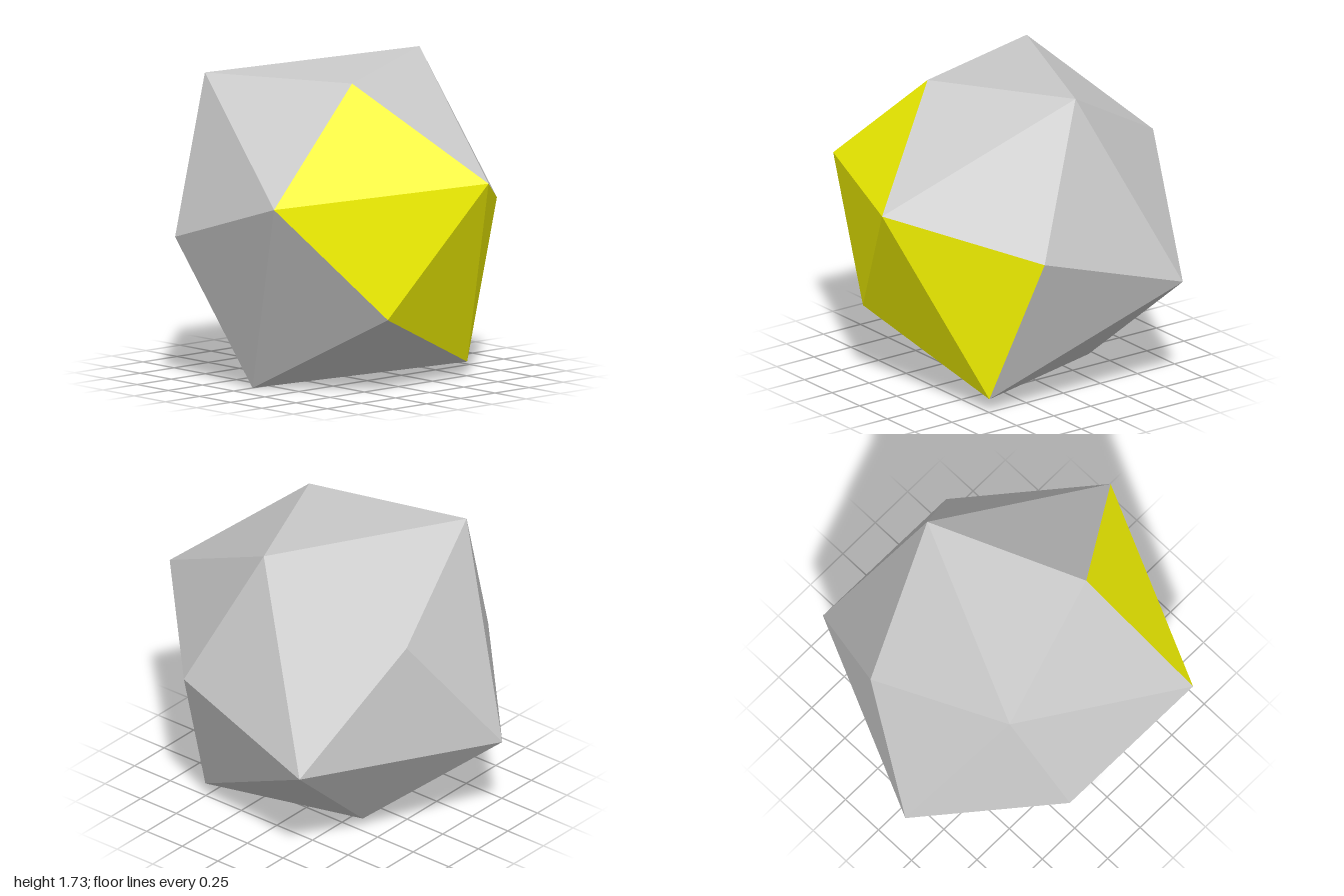
import * as THREE from 'three';

// Tetrakis cube: a tilted cube with a low pyramid on every face.
// The three axes run from the centre to the pyramid tips.
const AXES = [
  new THREE.Vector3(0.375, 0.808, 0.225),
  new THREE.Vector3(-0.375, -0.058, 0.836),
  new THREE.Vector3(0.75, -0.433, 0.306),
];
const TIP_RATIO = 1.5; // tip height over half the cube edge
const CENTRE_Y = 0.866;

// Point from signed steps along the three axes
function pointAt(steps, scale) {
  const p = new THREE.Vector3();
  AXES.forEach((axis, i) => p.addScaledVector(axis, steps[i] * scale));
  return p;
}

// Triangle on cube face (a, s), along the edge it shares with face (b, t)
function facet(a, s, b, t) {
  const c = 3 - a - b;
  const parity = (a + 1) % 3 === b ? 1 : -1;
  const u = s * t * parity;
  const tip = [0, 0, 0];
  tip[a] = s;
  const corner = (w) => {
    const steps = [0, 0, 0];
    steps[a] = s;
    steps[b] = t;
    steps[c] = w;
    return pointAt(steps, 1 / TIP_RATIO);
  };
  return [pointAt(tip, 1), corner(-u), corner(u)];
}

// Both facets beside these two cube edges are yellow
function isYellow(a, s, b, t) {
  const steps = [0, 0, 0];
  steps[a] = s;
  steps[b] = t;
  return steps[2] === 1 && (steps[0] === 1 || steps[1] === -1);
}

function facetMesh(name, points, color) {
  const geometry = new THREE.BufferGeometry().setFromPoints(points);
  geometry.computeVertexNormals();
  const mesh = new THREE.Mesh(
    geometry,
    new THREE.MeshStandardMaterial({ color, flatShading: true })
  );
  mesh.name = name;
  mesh.position.y = CENTRE_Y;
  return mesh;
}

export function createModel() {
  const grey = [];
  const yellow = [];
  for (let a = 0; a < 3; a++) {
    for (const s of [1, -1]) {
      for (let b = 0; b < 3; b++) {
        if (b === a) continue;
        for (const t of [1, -1]) {
          (isYellow(a, s, b, t) ? yellow : grey).push(...facet(a, s, b, t));
        }
      }
    }
  }

  const group = new THREE.Group();
  group.name = 'tetrakisCube';
  group.add(facetMesh('greyFacets', grey, 0xcccccc));
  group.add(facetMesh('yellowFacets', yellow, 0xffff00));
  return group;
}
